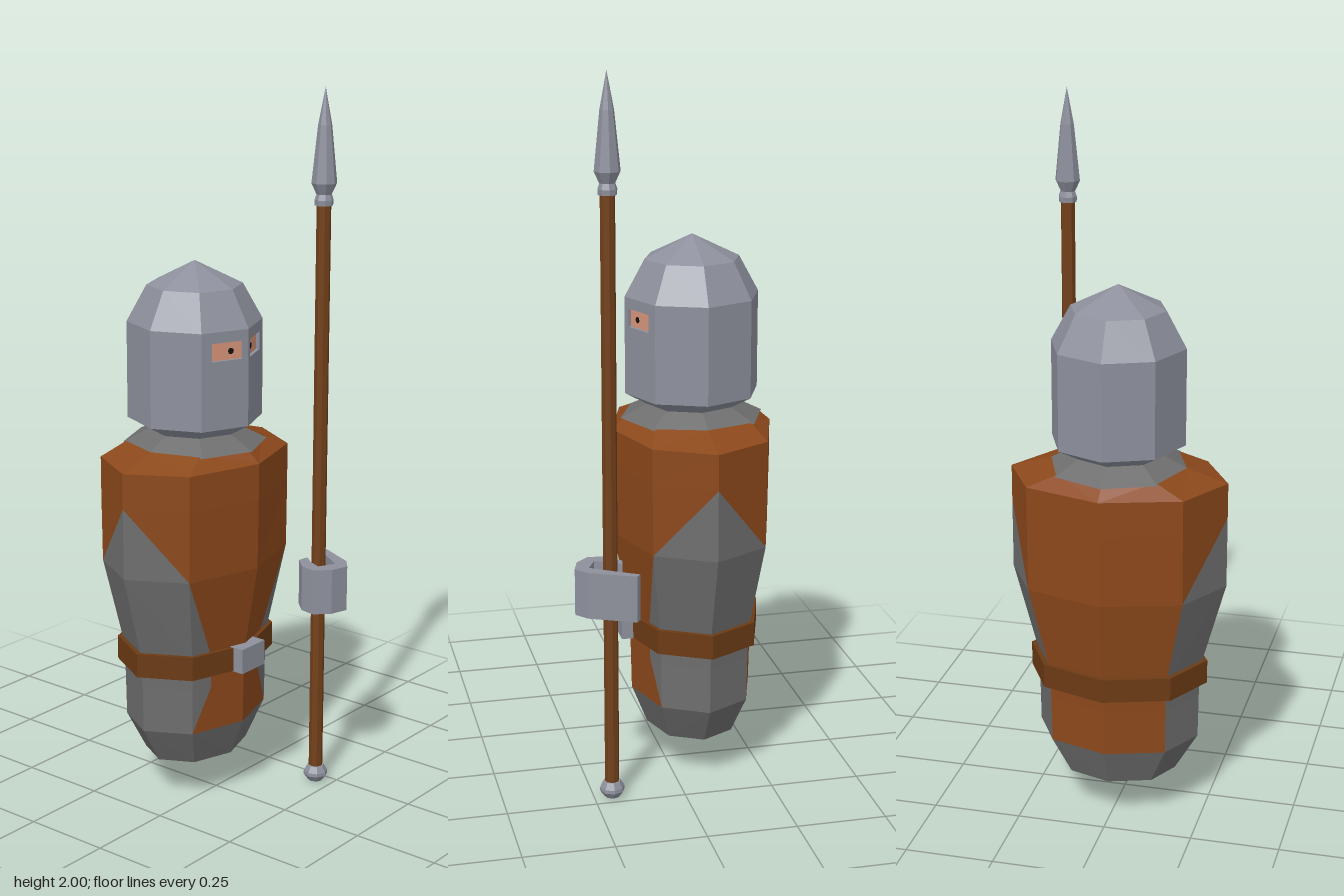
import * as THREE from 'three';

const paint = (color) => new THREE.MeshStandardMaterial({ color, flatShading: true });
const STEEL = paint(0x8d909c), MAIL = paint(0x6e6e6e), CLOTH = paint(0x8c481b);
const LEATHER = paint(0x6b3a14), WOOD = paint(0x72401a), SKIN = paint(0xd8957a), BLACK = paint(0x15100e);
const BODY_Z = -0.075;

function add(parent, name, geometry, material, x = 0, y = 0, z = 0) {
  const mesh = new THREE.Mesh(geometry, material);
  mesh.name = name;
  mesh.position.set(x, y, z);
  parent.add(mesh);
  return mesh;
}

// Eight-sided turned solid, corners on the axes
function lathe(points, start = 0, segments = 8) {
  return new THREE.LatheGeometry(points.map(([r, y]) => new THREE.Vector2(r, y)), segments, start, segments * Math.PI / 4);
}

// Tunic and mail: one faceted torso, split along the painted border.
// Rows: height, half width, half depth, border in front, border behind (0 = side corner, 2 = centre)
const ROWS = [
  [0.12, 0.165, 0.128, 2, 2],
  [0.23, 0.23, 0.172, 2, 2],
  [0.23, 0.23, 0.172, 1, 1],
  [0.36, 0.232, 0.175, 1.36, 1],
  [0.45, 0.236, 0.178, 1.36, 1],
  [0.7, 0.305, 0.222, 1, 1],
  [0.9, 0.305, 0.225, 0, 0],
  [1.0, 0.305, 0.225, 0, 0],
  [1.035, 0.19, 0.185, 0, 0],
];

function rowPoint([y, rx, rz], u, sx, sz) {
  const i = Math.min(Math.floor(u), 1), t = u - i;
  const corner = (k) => [rx * Math.cos(k * Math.PI / 4), rz * Math.sin(k * Math.PI / 4)];
  const a = corner(i), b = corner(i + 1);
  return new THREE.Vector3(sx * (a[0] + (b[0] - a[0]) * t), y, sz * (a[1] + (b[1] - a[1]) * t));
}

function torso(parent) {
  const mail = [], tunic = [];
  const tri = (list, a, b, c, flip) => {
    const area = b.clone().sub(a).cross(c.clone().sub(a)).length();
    if (area < 1e-7) return;
    for (const p of flip ? [a, c, b] : [a, b, c]) list.push(p.x, p.y, p.z);
  };
  for (const sx of [1, -1]) for (const sz of [1, -1]) {
    const flip = sx * sz < 0;
    for (let r = 0; r < ROWS.length - 1; r++) {
      const [low, high] = [ROWS[r], ROWS[r + 1]];
      const stops = (row) => {
        const g = row[sz > 0 ? 3 : 4];
        return [0, Math.min(g, 1), g, Math.max(g, 1), 2].map((u) => rowPoint(row, u, sx, sz));
      };
      const p = stops(low), q = stops(high);
      for (let k = 0; k < 4; k++) {
        const list = k < 2 ? mail : tunic;
        tri(list, p[k], q[k], p[k + 1], flip);
        tri(list, p[k + 1], q[k], q[k + 1], flip);
      }
    }
    // Underside, with a patch of tunic at the back
    const [a, b, c] = [0, 1, 2].map((u) => rowPoint(ROWS[0], u, sx, sz));
    const mid = new THREE.Vector3(0, ROWS[0][0], sz > 0 ? 0 : b.z);
    const hub = new THREE.Vector3(0, ROWS[0][0], 0);
    tri(mail, hub, a, b, flip);
    tri(mail, hub, b, mid, flip);
    tri(sz > 0 ? mail : tunic, mid, b, c, flip);
  }
  for (const [name, list, material] of [['mailCoat', mail, MAIL], ['tunic', tunic, CLOTH]]) {
    const geometry = new THREE.BufferGeometry();
    geometry.setAttribute('position', new THREE.Float32BufferAttribute(list, 3));
    geometry.computeVertexNormals();
    add(parent, name, geometry, material, 0, 0, BODY_Z);
  }
}

function helmet(parent) {
  const R = 0.187, low = 1.1, high = 1.37;
  const group = new THREE.Group();
  group.name = 'helmet';
  group.position.z = BODY_Z;
  parent.add(group);
  add(group, 'neck', lathe([[0.2, 1.03], [0.11, 1.075]]), MAIL);
  add(group, 'chinGuard', lathe([[0, 1.06], [0.115, 1.06], [R, low]]), STEEL);
  add(group, 'helmetWall', lathe([[R, low], [R, high]], Math.PI / 4, 6), STEEL);
  add(group, 'helmetCrown', lathe([[R, high], [0.132, 1.47], [0, 1.535]]), STEEL);

  // Two front plates, each with an eye slot
  const half = R * Math.sin(Math.PI / 8), apothem = R * Math.cos(Math.PI / 8), depth = 0.014;
  for (const side of [1, -1]) {
    const plate = new THREE.Group();
    plate.name = side > 0 ? 'leftFacePlate' : 'rightFacePlate';
    plate.rotation.y = side * Math.PI / 8;
    group.add(plate);
    const shape = new THREE.Shape([[-half, low], [half, low], [half, high], [-half, high]].map((p) => new THREE.Vector2(...p)));
    const x0 = -side * 0.055, x1 = side * 0.04;
    shape.holes.push(new THREE.Path([[x0, 1.29], [x0, 1.34], [x1, 1.34], [x1, 1.29]].map((p) => new THREE.Vector2(...p))));
    add(plate, 'plate', new THREE.ExtrudeGeometry(shape, { depth, bevelEnabled: false }), STEEL, 0, 0, apothem - depth);
    add(plate, 'face', new THREE.PlaneGeometry(0.1, 0.06), SKIN, -side * 0.0075, 1.315, apothem - 0.01);
    add(plate, 'pupil', new THREE.CircleGeometry(0.009, 8), BLACK, -side * 0.022, 1.313, apothem - 0.008);
  }
}

function spear(parent) {
  const group = new THREE.Group();
  group.name = 'spear';
  group.position.set(0.213, 0, 0.2);
  parent.add(group);
  add(group, 'shaft', new THREE.CylinderGeometry(0.02, 0.02, 1.66, 8), WOOD, 0, 0.86);
  add(group, 'buttCap', lathe([[0, 0], [0.021, 0.003], [0.035, 0.022], [0.034, 0.032], [0.024, 0.05], [0, 0.05]]), STEEL);
  add(group, 'spearHead', lathe([[0, 1.685], [0.025, 1.685], [0.026, 1.7], [0.021, 1.715], [0.035, 1.745], [0.019, 1.9], [0, 2]]), STEEL);
}

// Gauntlet: a curled fist seen from above, open round the shaft
function gauntlet(parent) {
  const outline = [
    [0.175, 0.16], [0.135, 0.2], [0.127, 0.245], [0.163, 0.283], [0.215, 0.298], [0.25, 0.27], [0.308, 0.147],
    [0.292, 0.135], [0.255, 0.195], [0.212, 0.258], [0.163, 0.235], [0.182, 0.195], [0.207, 0.165],
  ];
  const shape = new THREE.Shape(outline.map(([x, z]) => new THREE.Vector2(x, -z)));
  const geometry = new THREE.ExtrudeGeometry(shape, { depth: 0.13, bevelEnabled: false });
  geometry.rotateX(-Math.PI / 2);
  add(parent, 'gauntlet', geometry, STEEL, 0, 0.55, 0);
}

export function createModel() {
  const model = new THREE.Group();
  model.name = 'spearGuard';
  torso(model);
  const belt = add(model, 'belt', lathe([[0.2, 0.4], [0.255, 0.4], [0.255, 0.468], [0.2, 0.468]]), LEATHER, 0, 0, BODY_Z);
  belt.scale.z = 0.76;
  add(model, 'buckle', new THREE.BoxGeometry(0.1, 0.072, 0.05), STEEL, 0, 0.434, 0.11);
  helmet(model);
  gauntlet(model);
  spear(model);
  return model;
}
